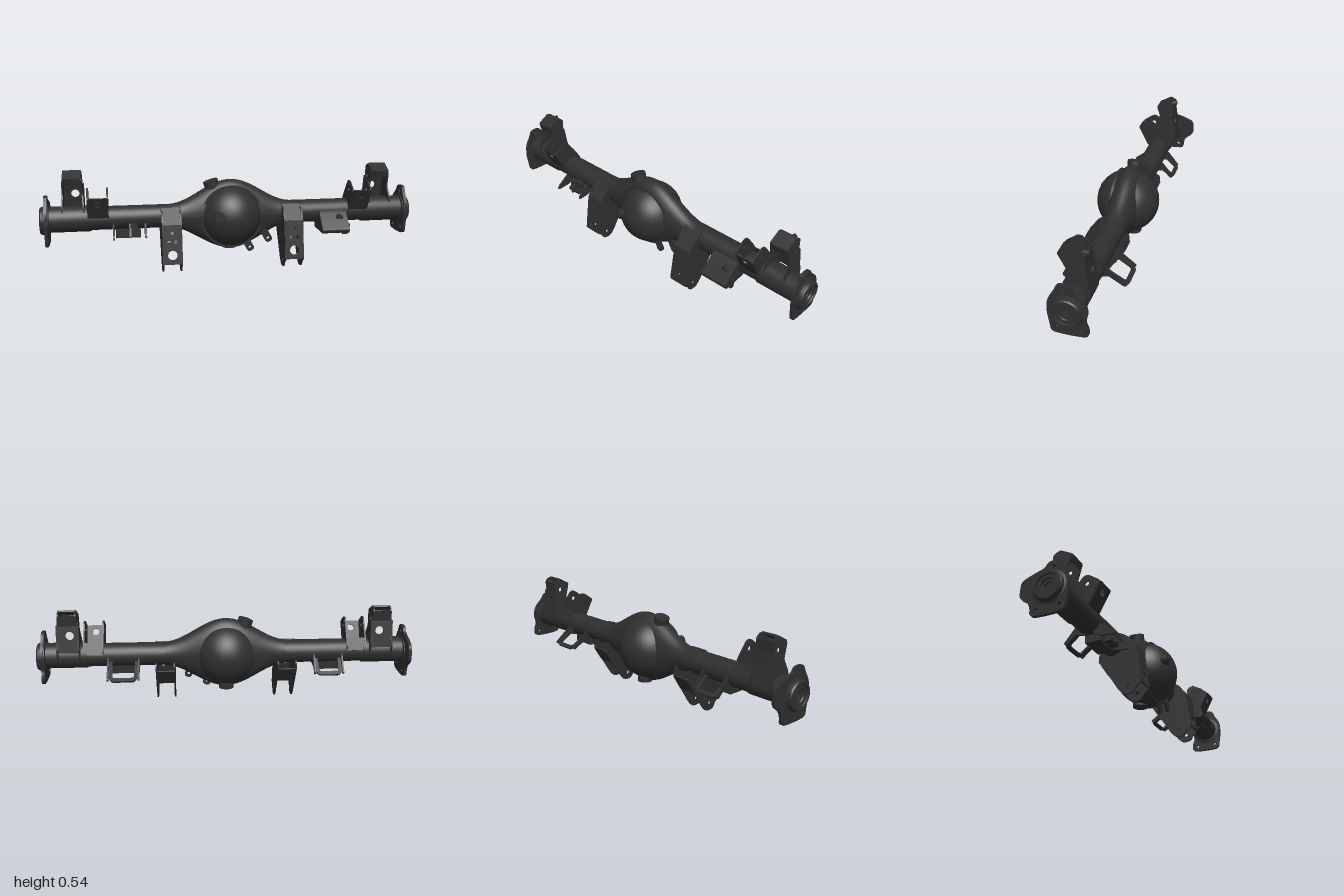
import * as THREE from 'three';

const iron = new THREE.MeshStandardMaterial({ color: 0x2f2f2f, side: THREE.DoubleSide });
iron.name = 'dark cast iron';
const CY = 0.285, CZ = -0.005; // axle centre line

export function createModel() {
  const model = new THREE.Group();
  model.name = 'axleHousing';

  const add = (name, geo, x = 0, y = 0, z = 0, parent = model) => {
    const m = new THREE.Mesh(geo, iron);
    m.name = name;
    m.position.set(x, y, z);
    parent.add(m);
    return m;
  };
  // polygon with rounded corners and round holes [x, y, r]
  const outline = (pts, r = 0.012, holes = []) => {
    const s = new THREE.Shape(), n = pts.length;
    const v = pts.map(p => new THREE.Vector2(...p));
    v.forEach((p, i) => {
      const toward = q => p.clone().add(q.clone().sub(p).setLength(Math.min(r, q.distanceTo(p) / 2)));
      const a = toward(v[(i + n - 1) % n]), b = toward(v[(i + 1) % n]);
      if (i) s.lineTo(a.x, a.y); else s.moveTo(a.x, a.y);
      s.quadraticCurveTo(p.x, p.y, b.x, b.y);
    });
    for (const [x, y, hr] of holes) {
      s.holes.push(new THREE.Path().absarc(x, y, hr, 0, Math.PI * 2, true));
    }
    return s;
  };
  const slab = (shape, t) => new THREE.ExtrudeGeometry(shape, { depth: t, bevelEnabled: false, curveSegments: 8 })
    .translate(0, 0, -t / 2);
  // plate drawn in (z, y), facing sideways
  const sidePlate = (name, x, t, pts, r, holes, parent) =>
    add(name, slab(outline(pts, r, holes), t).rotateY(-Math.PI / 2), x, 0, 0, parent);
  // rectangular web between two (z, y) points, spanning width w
  const web = (name, x, w, [z0, y0], [z1, y1], holes = [], t = 0.008, r = 0.006) => {
    const l = Math.hypot(z1 - z0, y1 - y0) / 2, h = w / 2;
    const m = add(name, slab(outline([[-h, -l], [h, -l], [h, l], [-h, l]], r, holes), t),
      x, (y0 + y1) / 2, (z0 + z1) / 2);
    m.rotation.x = Math.atan2(z1 - z0, y1 - y0);
    return m;
  };
  const rod = (name, r, len, x, y, z, axis, seg = 24) => {
    const g = new THREE.CylinderGeometry(r, r, len, seg);
    if (axis === 'x') g.rotateZ(Math.PI / 2);
    if (axis === 'z') g.rotateX(Math.PI / 2);
    return add(name, g, x, y, z);
  };

  // central casing: a tube swelling up and down around the gears
  const body = new THREE.CylinderGeometry(1, 1, 0.72, 40, 48, true).rotateZ(Math.PI / 2);
  const p = body.attributes.position;
  for (let i = 0; i < p.count; i++) {
    const t = Math.min(1, Math.abs(p.getX(i)) / 0.34), bump = (1 + Math.cos(Math.PI * t)) / 2;
    p.setY(i, CY + p.getY(i) * (0.062 + 0.127 * bump));
    p.setZ(i, CZ + p.getZ(i) * (0.058 + 0.03 * bump));
  }
  body.computeVertexNormals();
  add('centralCasing', body);
  add('gearDome', new THREE.SphereGeometry(0.168, 40, 28), 0, CY - 0.005, 0.003);
  rod('coverRim', 0.168, 0.014, 0, CY - 0.005, 0.055, 'z', 40);
  rod('fillBoss', 0.027, 0.05, -0.08, 0.3, 0.145, 'z');
  rod('fillPlug', 0.017, 0.02, -0.08, 0.3, 0.17, 'z', 6);
  rod('breatherBoss', 0.04, 0.05, -0.1, 0.445, CZ, 'y').rotation.z = 0.3;
  rod('sumpLip', 0.04, 0.03, 0, 0.108, -0.03, 'y');
  for (const [x, y] of [[0.1, 0.108], [0.2, 0.155]]) {
    const tab = add('casingTab', slab(outline([[-0.02, -0.025], [0.02, -0.025], [0.02, 0.05], [-0.02, 0.05]],
      0.018, [[0, -0.004, 0.008]]), 0.014), x, y, 0.04);
    tab.rotation.z = 0.5;
  }

  for (const s of [-1, 1]) {
    // axle tube and stepped collar
    rod('axleTube', 0.062, 0.65, s * 0.645, CY, CZ, 'x', 32);
    rod('tubeCollar', 0.068, 0.22, s * 0.85, CY, CZ, 'x', 32);

    // bearing end with open bore
    const hub = new THREE.LatheGeometry([[0, 0.94], [0.02, 0.94], [0.022, 0.985], [0.035, 0.985], [0.038, 0.992],
      [0.055, 0.992], [0.057, 1], [0.068, 1], [0.073, 0.993], [0.075, 0.98], [0.085, 0.977], [0.085, 0.955], [0.062, 0.95]]
      .map(q => new THREE.Vector2(...q)), 36).toNonIndexed();
    hub.computeVertexNormals();
    hub.rotateZ(-s * Math.PI / 2);
    add('bearingEnd', hub, 0, CY - 0.005, CZ);

    // lobed brake flange; the one on the -x side carries an extra rear lobe
    const rear = s > 0 ? [[-0.085, 0.34], [-0.1, 0.29], [-0.085, 0.23]]
      : [[-0.09, 0.37], [-0.155, 0.345], [-0.16, 0.26], [-0.115, 0.23]];
    sidePlate('brakeFlange', s * 0.967, 0.016, [[0.05, 0.385], [0.04, 0.415], [-0.02, 0.415], [-0.035, 0.385],
      ...rear, [-0.1, 0.2], [-0.1, 0.155], [-0.045, 0.15], [0.02, 0.15], [0.075, 0.155], [0.08, 0.2],
      [0.09, 0.26], [0.085, 0.33]], 0.025, [[0.01, 0.385, 0.009], [0.048, 0.186, 0.009], [-0.066, 0.181, 0.009]]);

    // lower link bracket: two cheeks and a front web
    for (const x of [0.278, 0.374]) {
      sidePlate('lowerLinkCheek', s * x, 0.008, [[0.02, 0.35], [0.085, 0.31], [0.118, 0.26], [0.15, 0.05], [0.125, 0.04],
        [0.11, 0.005], [0.06, 0], [0.03, 0.03], [-0.05, 0.155], [-0.085, 0.21], [-0.08, 0.25], [0, 0.26]],
      0.018, [[0.083, 0.042, 0.01]]);
    }
    web('lowerLinkWeb', s * 0.326, 0.1, [0.147, 0.055], [0.118, 0.26],
      [[0, -0.055, 0.025], [0.018, 0.015, 0.008], [-0.018, 0.015, 0.008], [0, 0.06, 0.008]]);
    web('lowerLinkUpperWeb', s * 0.326, 0.1, [0.118, 0.258], [0.045, 0.335]);
    web('lowerLinkRearWeb', s * 0.326, 0.1, [-0.03, 0.125], [-0.085, 0.21]);

    // tall shock bracket: cheeks, rear web, cap and bolt
    for (const d of [-1, 1]) {
      const cheek = new THREE.Group();
      cheek.name = 'shockCheek';
      cheek.position.set(s * 0.83 + d * 0.058, 0.3, 0);
      cheek.rotation.z = d * 0.06;
      model.add(cheek);
      sidePlate('shockCheekPlate', 0, 0.008, [[0.038, 0.2], [-0.03, 0.238], [-0.062, 0.22], [-0.055, 0.15], [-0.085, 0.03],
        [-0.07, -0.04], [0.05, 0], [0.045, 0.06], [0.015, 0.12], [0.03, 0.17]], 0.014, [[-0.025, 0.17, 0.012]], cheek);
    }
    web('shockWeb', s * 0.83, 0.118, [-0.078, 0.32], [-0.055, 0.465], [[s * -0.012, 0.018, 0.022]]);
    web('shockUpperWeb', s * 0.83, 0.095, [-0.055, 0.455], [-0.06, 0.515]);
    web('shockCap', s * 0.83, 0.095, [0.038, 0.498], [-0.03, 0.535], [], 0.01);
    web('shockCapLip', s * 0.83, 0.09, [0.03, 0.47], [0.038, 0.498]);
    rod('shockBolt', 0.012, 0.03, s * 0.845, 0.512, -0.055, 'z', 6);

    // upper link bracket: cheeks joined by a leaning web
    for (const x of [0.652, 0.752]) {
      sidePlate('upperLinkCheek', s * x, 0.008, [[0.12, 0.412], [0.055, 0.458], [0.03, 0.455], [-0.02, 0.39], [-0.065, 0.32],
        [-0.06, 0.27], [0.05, 0.28], [0.068, 0.32]], 0.014, [[0.05, 0.41, 0.012]]);
    }
    web('upperLinkWeb', s * 0.702, 0.1, [0.06, 0.3], [0.118, 0.412], [[0, 0.026, 0.018]]);
    web('upperLinkSaddle', s * 0.702, 0.1, [-0.065, 0.3], [-0.035, 0.36]);

    // rear tray frame hanging behind the tube
    const back = s > 0 ? -0.175 : -0.14, w = s > 0 ? 0.17 : 0.16, x0 = s * 0.545;
    const len = Math.hypot(back + 0.035, 0.085), h = w / 2;
    const frame = outline([[-h, 0], [h, 0], [h, len * 0.7], [h - 0.025, len], [0.025 - h, len], [-h, len * 0.7]], 0.015);
    frame.holes.push(new THREE.Path(outline([[-h + 0.025, 0.02], [h - 0.025, 0.02], [h - 0.03, len - 0.022],
      [0.03 - h, len - 0.022]], 0.012).getPoints(6)));
    const tray = add('rearTray', slab(frame, 0.012), x0, 0.275, -0.035);
    tray.rotation.x = Math.atan2(back + 0.035, -0.085);
    for (const d of [-1, 1]) {
      sidePlate('trayArm', x0 + d * (h - 0.005), 0.009, [[-0.02, 0.32], [-0.08, 0.275], [back, 0.2],
        [back + 0.015, 0.188], [-0.08, 0.235], [-0.02, 0.22]], 0.008);
    }
    add('saddlePad', new THREE.BoxGeometry(0.13, 0.04, 0.08), s * 0.55, 0.205, 0.01);
  }

  // solid spring perch on the +x side
  sidePlate('springPerch', 0.555, 0.15, [[0.02, 0.325], [0.07, 0.29], [0.1, 0.26], [0.152, 0.205], [0.14, 0.185],
    [0.06, 0.19], [0, 0.2], [0, 0.28]], 0.012);
  add('perchEar', slab(outline([[-0.025, -0.025], [0.02, -0.025], [0.025, 0.04], [-0.03, 0.04]], 0.018,
    [[0, -0.004, 0.009]]), 0.012), 0.62, 0.195, 0.1);
  rod('perchStud', 0.018, 0.03, 0.585, 0.262, 0.09, 'z', 16);

  // open front arms on the -x side
  for (const [x, reach] of [[-0.625, 0.13], [-0.54, 0.1], [-0.46, 0.115]]) {
    sidePlate('frontArm', x, 0.01, [[0.02, 0.27], [0.06, 0.265], [reach, 0.215], [reach + 0.008, 0.195],
      [0.06, 0.2], [0.02, 0.22]], 0.01);
  }
  add('frontArmFoot', new THREE.BoxGeometry(0.08, 0.02, 0.04), -0.54, 0.205, 0.07);
  rod('cableClip', 0.022, 0.03, -0.52, 0.245, 0.06, 'z', 12);

  return model;
}
